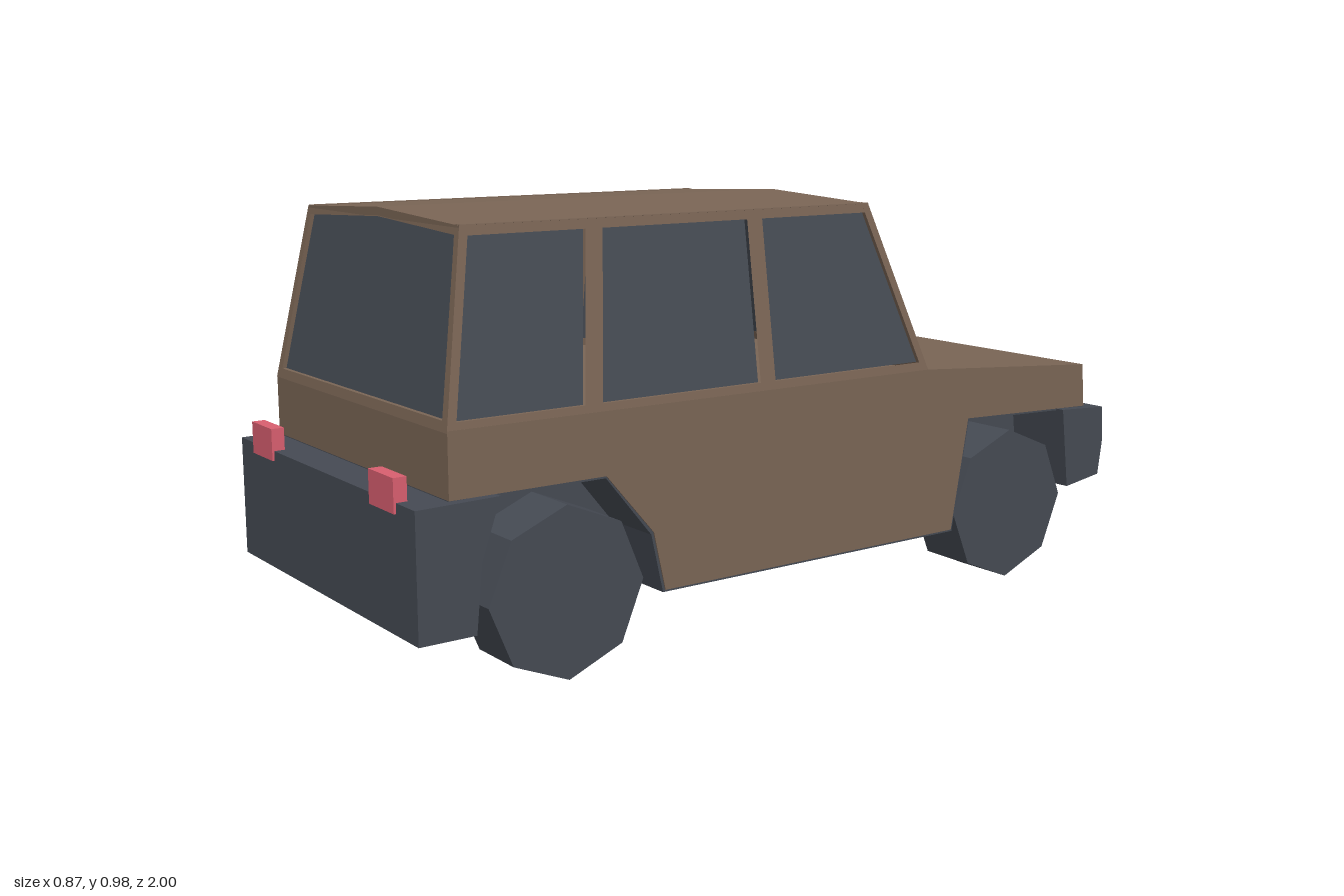
import * as THREE from 'three';

const paint = (name, color) => Object.assign(new THREE.MeshStandardMaterial({ color }), { name });

export function createModel() {
  const car = new THREE.Group();
  car.name = 'offRoadCar';
  const brown = paint('brownPaint', 0x7a6555);
  const dark = paint('darkTrim', 0x454a53);
  const glass = paint('darkGlass', 0x464c54);
  const red = paint('redLight', 0xd85f6f);
  const cream = paint('creamLight', 0xcdc6b4);

  const add = (name, geometry, material, parent = car) => {
    const mesh = new THREE.Mesh(geometry, material);
    mesh.name = name;
    parent.add(mesh);
    return mesh;
  };

  // Extrude an outline from depth c0 to c1, then place each point (a, b, c) by a rule
  const plate = (outline, holes, c0, c1, place) => {
    const toV = (pts) => pts.map(([a, b]) => new THREE.Vector2(a, b));
    const shape = new THREE.Shape(toV(outline));
    holes.forEach((h) => shape.holes.push(new THREE.Path(toV(h))));
    const g = new THREE.ExtrudeGeometry(shape, { depth: c1 - c0, bevelEnabled: false });
    const p = g.attributes.position;
    for (let i = 0; i < p.count; i++) p.setXYZ(i, ...place(p.getX(i), p.getY(i), p.getZ(i) + c0));
    g.computeVertexNormals();
    return g;
  };
  const flip = (pts, s) => pts.map(([a, b]) => [a * s, b]);
  // Side profile of (z, y) points, swept across the car
  const across = (pts, half) => plate(flip(pts, -1), [], -half, half, (a, b, c) => [c, b, -a]);
  const box = (name, x0, x1, y0, y1, z0, z1, material, parent) => {
    const m = add(name, new THREE.BoxGeometry(x1 - x0, y1 - y0, z1 - z0), material, parent);
    m.position.set((x0 + x1) / 2, (y0 + y1) / 2, (z0 + z1) / 2);
    return m;
  };

  // Lower body with open wheel arches, running from tail to nose
  const under = [[0.91, 0.43], [0.54, 0.43], [0.42, 0.29], [0.39, 0.157], [-0.47, 0.157], [-0.52, 0.43], [-0.94, 0.415]];
  add('lowerBody', across([...under, [-0.93, 0.525], [-0.38, 0.565], [0.91, 0.57]], 0.415), brown);
  // Dark lining below the body and in the arches
  const lining = under.map(([z, y], i) => [z + (i === 2 || i === 3 ? 0.005 : i === 4 || i === 5 ? -0.005 : 0), y - 0.005]);
  add('underLining', across([...under, ...lining.reverse()], 0.412), dark);
  add('chassis', across([[0.87, 0.152], [0.87, 0.43], [-0.9, 0.413], [-0.9, 0.22], [-0.52, 0.152]], 0.26), dark);

  // Bumpers
  add('rearBumper', across([[0.805, 0.43], [0.85, 0.3], [0.865, 0.152], [0.995, 0.152], [0.995, 0.427]], 0.435), dark);
  add('frontBumper', across([[-0.84, 0.418], [-0.99, 0.41], [-0.995, 0.32], [-0.982, 0.232], [-0.865, 0.215]], 0.435), dark);

  // Cabin walls lean inward as they rise
  const sideX = (y) => 0.415 - (y - 0.565) * 0.146;
  const rearZ = (y) => 0.91 - (y - 0.57) * 0.175;
  const frontZ = (y) => -0.38 + (y - 0.565) * 0.375;
  const wall = [[-0.38, 0.565], [0.91, 0.565], [0.84, 0.965], [-0.23, 0.965]];
  const sideWindows = [
    [[0.893, 0.585], [0.825, 0.943], [0.55, 0.943], [0.588, 0.585]],
    [[0.545, 0.585], [0.508, 0.943], [0.128, 0.943], [0.128, 0.585]],
    [[0.086, 0.585], [0.086, 0.943], [-0.225, 0.943], [-0.357, 0.585]],
  ];
  for (const s of [1, -1]) {
    const side = s > 0 ? 'left' : 'right';
    const place = (a, b, c) => [s * (sideX(b) + c), b, -s * a];
    const windows = sideWindows.map((w) => flip(w, -s));
    add(side + 'CabinFrame', plate(flip(wall, -s), windows, -0.02, 0, place), brown);
    windows.forEach((w, i) => add(side + 'Window' + (i + 1), plate(w, [], -0.018, -0.01, place), glass));
  }
  const endWall = [[-0.415, 0.565], [0.415, 0.565], [0.357, 0.963], [0, 0.98], [-0.357, 0.963]];
  const endWindow = [[-0.39, 0.587], [0.39, 0.587], [0.342, 0.944], [0, 0.96], [-0.342, 0.944]];
  const ends = {
    rear: (a, b, c) => [a, b, rearZ(b) + c],
    front: (a, b, c) => [-a, b, frontZ(b) - c],
  };
  for (const [end, place] of Object.entries(ends)) {
    add(end + 'CabinFrame', plate(endWall, [endWindow], -0.02, 0, place), brown);
    add(end + 'Windscreen', plate(endWindow, [], -0.018, -0.01, place), glass);
  }

  // Ridged roof
  const roof = [[-0.357, 0.963], [0, 0.98], [0.357, 0.963], [0.345, 0.946], [0, 0.962], [-0.345, 0.946]];
  add('roof', plate(roof, [], -0.232, 0.842, (a, b, c) => [a, b, c]), brown);

  // Lights on both sides
  const nose = (a, b, c) => [-a, b, -0.93 - (0.525 - b) * 0.09 - c];
  for (const s of [1, -1]) {
    const span = (a, b) => [Math.min(s * a, s * b), Math.max(s * a, s * b)];
    box('tailLight', ...span(0.245, 0.355), 0.405, 0.478, 0.97, 1, red);
    box('bumperLight', ...span(0.24, 0.355), 0.35, 0.427, -1, -0.972, cream);
    add('headlightPanel', plate(flip([[0.345, 0.505], [0.2, 0.505], [0.17, 0.43], [0.345, 0.43]], s), [], 0, 0.003, nose), glass);
    add('headlight', plate(flip([[0.38, 0.505], [0.345, 0.505], [0.345, 0.435], [0.38, 0.435]], s), [], 0, 0.004, nose), cream);
  }

  // Eight-sided wheels, all with the rim facing -x
  const ring = (r) => Array.from({ length: 8 }, (_, i) => [r * Math.sin(i * Math.PI / 4), r * Math.cos(i * Math.PI / 4)]);
  const toAxle = (a, b, c) => [-c, b, a];
  for (const z of [0.63, -0.68]) for (const x of [0.331, -0.342]) {
    const wheel = new THREE.Group();
    wheel.name = 'wheel';
    wheel.position.set(x, 0.19, z);
    car.add(wheel);
    add('tyre', plate(ring(0.19), [ring(0.125)], -0.0715, 0.0715, toAxle), dark, wheel);
    add('innerFace', plate(ring(0.13), [], -0.0715, 0.01, toAxle), dark, wheel);
    add('rimDisc', plate(ring(0.125), [], 0.01, 0.03, toAxle), brown, wheel);
    add('rimRing', plate(ring(0.126), [ring(0.108)], 0.03, 0.06, toAxle), brown, wheel);
    for (let i = 0; i < 4; i++) {
      const spoke = add('spoke', new THREE.BoxGeometry(0.02, 0.22, 0.032), dark, wheel);
      spoke.position.x = -0.038;
      spoke.rotation.x = i * Math.PI / 4;
    }
    add('hub', plate(ring(0.04), [], 0.03, 0.065, toAxle), dark, wheel);
  }
  return car;
}
